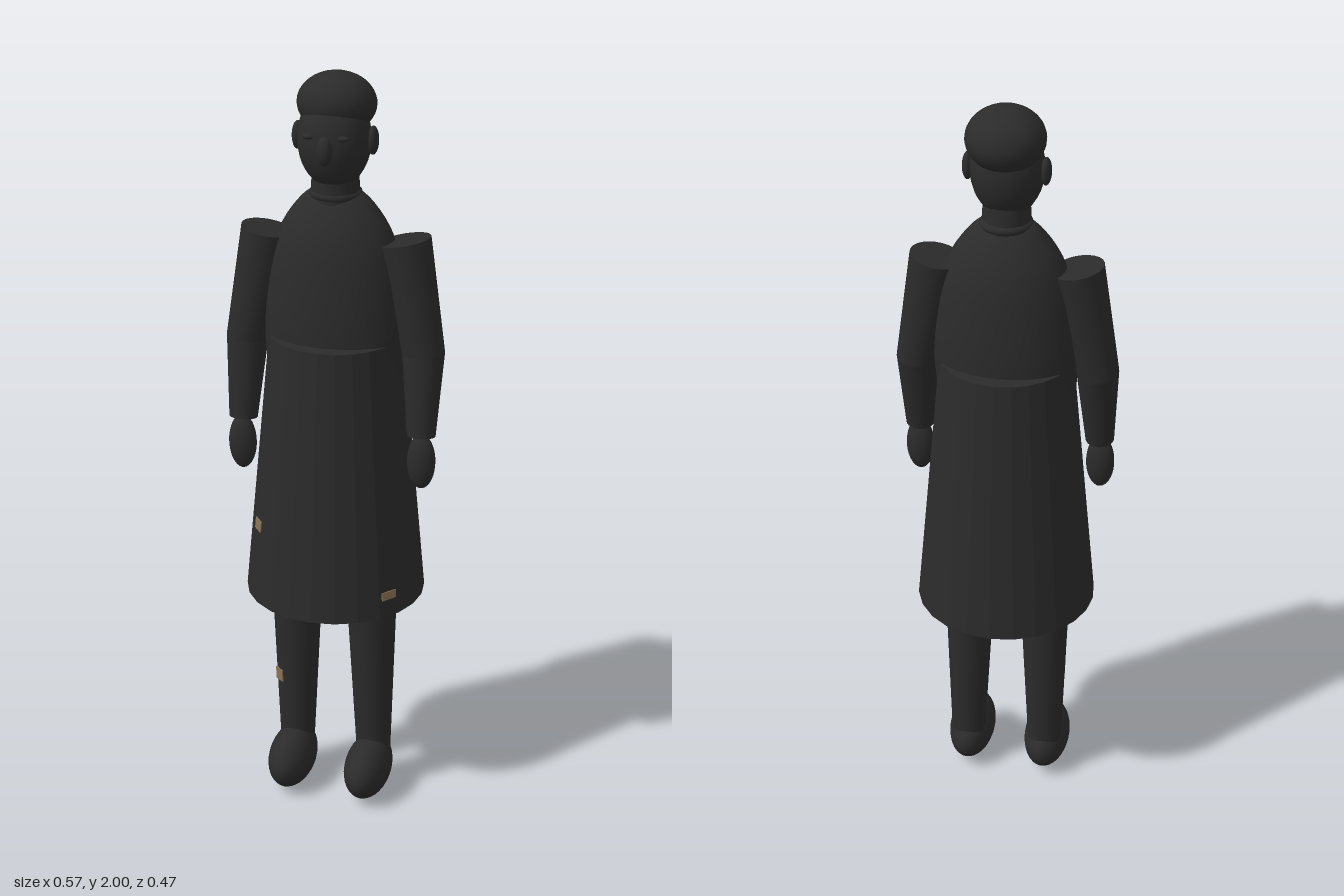
import * as THREE from 'three';

const darkCloth = new THREE.MeshStandardMaterial({ color: 0x2b2b2b });
darkCloth.name = 'darkCloth';
const tanPatch = new THREE.MeshStandardMaterial({ color: 0x8b7355 });
tanPatch.name = 'tanPatch';

function add(parent, name, geometry, material = darkCloth) {
  const mesh = new THREE.Mesh(geometry, material);
  mesh.name = name;
  parent.add(mesh);
  return mesh;
}

function ellipsoid(parent, name, [x, y, z], [rx, ry, rz]) {
  const geometry = new THREE.SphereGeometry(1, 28, 20);
  geometry.scale(rx, ry, rz);
  const mesh = add(parent, name, geometry);
  mesh.position.set(x, y, z);
  return mesh;
}

// Tapered limb running from point a (radius ra) to point b (radius rb)
function limb(parent, name, a, ra, b, rb) {
  const from = new THREE.Vector3(...a);
  const to = new THREE.Vector3(...b);
  const axis = from.clone().sub(to);
  const mesh = add(parent, name, new THREE.CylinderGeometry(ra, rb, axis.length(), 24));
  mesh.position.copy(from).add(to).multiplyScalar(0.5);
  mesh.quaternion.setFromUnitVectors(new THREE.Vector3(0, 1, 0), axis.normalize());
  return mesh;
}

export function createModel() {
  const model = new THREE.Group();
  model.name = 'standingFigure';

  // Long flared coat skirt with flat panels
  const skirtGeometry = new THREE.CylinderGeometry(0.17, 0.237, 0.72, 24).toNonIndexed();
  skirtGeometry.computeVertexNormals();
  add(model, 'coatSkirt', skirtGeometry).position.y = 0.97;

  // Rounded torso, flattened front to back
  const profile = new THREE.SplineCurve([
    [0, 1.06], [0.1, 1.09], [0.165, 1.17], [0.182, 1.28], [0.185, 1.36],
    [0.178, 1.45], [0.164, 1.54], [0.14, 1.61], [0.1, 1.67], [0.06, 1.705], [0, 1.72],
  ].map(([r, y]) => new THREE.Vector2(r, y))).getPoints(30);
  profile.forEach((p) => { p.x = Math.max(p.x, 0); });
  add(model, 'torso', new THREE.LatheGeometry(profile, 32)).scale.z = 0.7;

  // Neck and collar
  limb(model, 'neck', [0, 1.77, 0.005], 0.058, [0, 1.64, 0], 0.064);
  const collar = add(model, 'collar', new THREE.TorusGeometry(0.056, 0.011, 10, 28));
  collar.rotation.x = Math.PI / 2;
  collar.position.set(0, 1.698, 0);

  // Head
  ellipsoid(model, 'head', [0, 1.838, 0.012], [0.092, 0.125, 0.091]);
  const hair = ellipsoid(model, 'hair', [0, 1.922, -0.01], [0.099, 0.078, 0.097]);
  hair.rotation.x = -0.15;
  ellipsoid(model, 'nose', [0, 1.828, 0.102], [0.02, 0.036, 0.017]);

  // Mirrored parts
  for (const s of [-1, 1]) {
    const side = s > 0 ? 'left' : 'right';
    ellipsoid(model, side + 'Ear', [s * 0.096, 1.838, 0.005], [0.014, 0.036, 0.023]);
    ellipsoid(model, side + 'Eye', [s * 0.043, 1.859, 0.09], [0.015, 0.007, 0.009]);

    limb(model, side + 'UpperArm', [s * 0.178, 1.59, 0.002], 0.067, [s * 0.233, 1.3, 0.01], 0.054);
    ellipsoid(model, side + 'Elbow', [s * 0.233, 1.3, 0.01], [0.054, 0.054, 0.054]);
    limb(model, side + 'Forearm', [s * 0.233, 1.3, 0.01], 0.054, [s * 0.238, 1.085, 0.042], 0.037);
    ellipsoid(model, side + 'Hand', [s * 0.24, 1.015, 0.045], [0.037, 0.075, 0.028]);

    limb(model, side + 'Leg', [s * 0.103, 0.64, 0.015], 0.069, [s * 0.109, 0.1, 0.002], 0.046);
    ellipsoid(model, side + 'Shoe', [s * 0.108, 0.085, 0.053], [0.062, 0.08, 0.117]);
  }

  // Small tan patches lying on the coat panels and one trouser leg
  function patch(name, [x, y, z], turn, tilt, w, h) {
    const mesh = add(model, name, new THREE.BoxGeometry(w, h, 0.006), tanPatch);
    mesh.position.set(x, y, z);
    mesh.rotation.set(tilt, turn, 0, 'YXZ');
  }
  const panel = THREE.MathUtils.degToRad(52.5);
  const onSkirt = (turn, y) => {
    const r = (0.237 - 0.067 * (y - 0.61) / 0.72) * Math.cos(Math.PI / 24);
    return [Math.sin(turn) * r, y, Math.cos(turn) * r];
  };
  patch('rightCoatPatch', onSkirt(-panel, 0.82), -panel, -0.093, 0.038, 0.03);
  patch('leftCoatPatch', onSkirt(panel, 0.668), panel, -0.093, 0.045, 0.022);
  patch('trouserPatch', [-0.145, 0.33, 0.047], -0.7, 0.04, 0.03, 0.036);

  return model;
}
